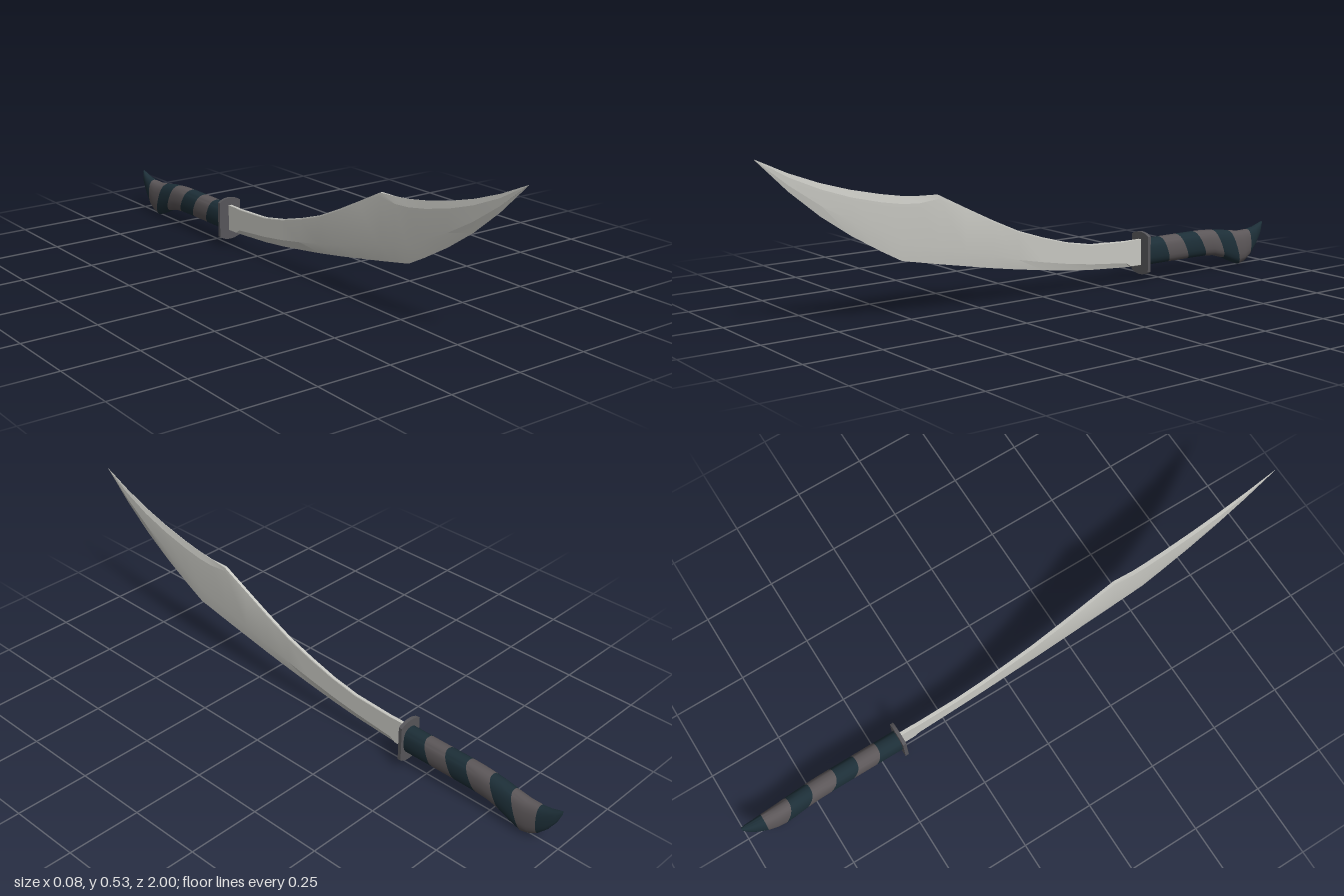
import * as THREE from 'three';
import { toCreasedNormals } from 'three/addons/utils/BufferGeometryUtils.js';

const steel = new THREE.MeshStandardMaterial({ color: 0xc8c8c2 });
steel.name = 'steel';
const guardGrey = new THREE.MeshStandardMaterial({ color: 0x57565a });
guardGrey.name = 'guard grey';
const wrapGrey = new THREE.MeshStandardMaterial({ color: 0x5c5759 });
wrapGrey.name = 'wrap grey';
const wrapNavy = new THREE.MeshStandardMaterial({ color: 0x1d2f38 });
wrapNavy.name = 'wrap navy';

// Skins rings of [x, y, z] points, counterclockwise seen from +z, ordered by rising z.
// materialOf(i) gives the material index of the band between rings i and i + 1.
function loft(rings, crease, materialOf = () => 0) {
  const n = rings[0].length;
  const index = [];
  const groups = [];
  for (let i = 0; i < rings.length - 1; i++) {
    const start = index.length;
    for (let j = 0; j < n; j++) {
      const a = i * n + j, b = i * n + (j + 1) % n;
      index.push(a, b, b + n, a, b + n, a + n);
    }
    if (i === 0) for (let j = 1; j < n - 1; j++) index.push(0, j + 1, j);
    if (i === rings.length - 2) {
      const e = (i + 1) * n;
      for (let j = 1; j < n - 1; j++) index.push(e, e + j, e + j + 1);
    }
    groups.push([start, index.length - start, materialOf(i)]);
  }
  const g = new THREE.BufferGeometry();
  g.setAttribute('position', new THREE.Float32BufferAttribute(rings.flat(2), 3));
  g.setIndex(index);
  const out = toCreasedNormals(g, crease);
  out.clearGroups();
  groups.forEach((s) => out.addGroup(...s));
  return out;
}

// Blade: z, cutting edge y, spine y, edge bevel height, back bevel height, spine half width
function makeBlade() {
  const stations = [
    [-0.42, 0.055, 0.147, 0.003, 0.002, 0.006],
    [-0.37, 0.056, 0.147, 0.003, 0.002, 0.006],
    [-0.35, 0.057, 0.147, 0.015, 0.002, 0.005],
    [-0.2, 0.067, 0.154, 0.02, 0.003, 0.005],
    [-0.1, 0.078, 0.172, 0.023, 0.003, 0.005],
    [0, 0.092, 0.2, 0.027, 0.004, 0.005],
    [0.1, 0.107, 0.233, 0.032, 0.004, 0.005],
    [0.2, 0.124, 0.278, 0.038, 0.005, 0.005],
    [0.3, 0.143, 0.327, 0.044, 0.006, 0.005],
    [0.4, 0.162, 0.377, 0.05, 0.012, 0.005],
    [0.47, 0.176, 0.38, 0.056, 0.022, 0.001],
    [0.53, 0.188, 0.386, 0.06, 0.024, 0.0006],
    [0.6, 0.225, 0.398, 0.056, 0.024, 0.0006],
    [0.7, 0.283, 0.42, 0.044, 0.022, 0.0006],
    [0.8, 0.351, 0.449, 0.032, 0.018, 0.0006],
    [0.9, 0.433, 0.486, 0.018, 0.012, 0.0006],
    [1, 0.53, 0.532, 0.0008, 0.0005, 0.0003],
  ];
  const rings = stations.map(([z, lo, hi, bevel, back, s]) => {
    const h = 0.006 * Math.min(1, (1.02 - z) / 0.2);
    return [
      [0, lo, z], [h, lo + bevel, z], [h, hi - back, z], [s, hi, z],
      [-s, hi, z], [-h, hi - back, z], [-h, lo + bevel, z],
    ];
  });
  const mesh = new THREE.Mesh(loft(rings, 0.2), steel);
  mesh.geometry.clearGroups();
  mesh.name = 'blade';
  return mesh;
}

// Guard: thin plate with straight sides and bowed ends
function makeGuard() {
  const w = 0.042, s = new THREE.Shape();
  s.moveTo(-w, 0.038);
  s.bezierCurveTo(-0.02, 0.021, 0.02, 0.021, w, 0.038);
  s.lineTo(w, 0.16);
  s.bezierCurveTo(0.02, 0.177, -0.02, 0.177, -w, 0.16);
  const g = new THREE.ExtrudeGeometry(s, { depth: 0.012, bevelEnabled: false, curveSegments: 10 });
  g.translate(0, 0, -0.427);
  const mesh = new THREE.Mesh(g, guardGrey);
  mesh.name = 'guard';
  return mesh;
}

// Handle: slanted rings, each with top z, top y, bottom z, bottom y, half width, colour towards the guard
function makeHandle() {
  const slices = [
    [-1, 0.147, -1, 0.132, 0.004, 1],
    [-0.985, 0.141, -0.985, 0.096, 0.012, 1],
    [-0.96, 0.132, -0.96, 0.058, 0.018, 1],
    [-0.926, 0.126, -0.93, 0.027, 0.024, 0],
    [-0.88, 0.125, -0.905, 0.011, 0.028, 0],
    [-0.83, 0.132, -0.878, 0.004, 0.03, 1],
    [-0.79, 0.139, -0.84, 0.018, 0.031, 1],
    [-0.75, 0.143, -0.8, 0.037, 0.031, 0],
    [-0.705, 0.146, -0.755, 0.05, 0.031, 0],
    [-0.66, 0.147, -0.71, 0.054, 0.031, 1],
    [-0.58, 0.147, -0.625, 0.055, 0.031, 0],
    [-0.5, 0.147, -0.535, 0.055, 0.031, 1],
    [-0.42, 0.147, -0.42, 0.055, 0.031, 1],
  ];
  const sides = 20;
  const round = (v) => Math.sign(v) * Math.abs(v) ** 0.8;
  const rings = slices.map(([zt, yt, zb, yb, w]) =>
    Array.from({ length: sides }, (_, j) => {
      const a = (j / sides) * Math.PI * 2;
      const t = (1 + round(Math.sin(a))) / 2;
      return [w * round(Math.cos(a)), yb + (yt - yb) * t, zb + (zt - zb) * t];
    }));
  const mesh = new THREE.Mesh(loft(rings, 0.6, (i) => slices[i][5]), [wrapGrey, wrapNavy]);
  mesh.name = 'handle';
  return mesh;
}

export function createModel() {
  const model = new THREE.Group();
  model.name = 'curvedSword';
  model.add(makeBlade(), makeGuard(), makeHandle());
  return model;
}
